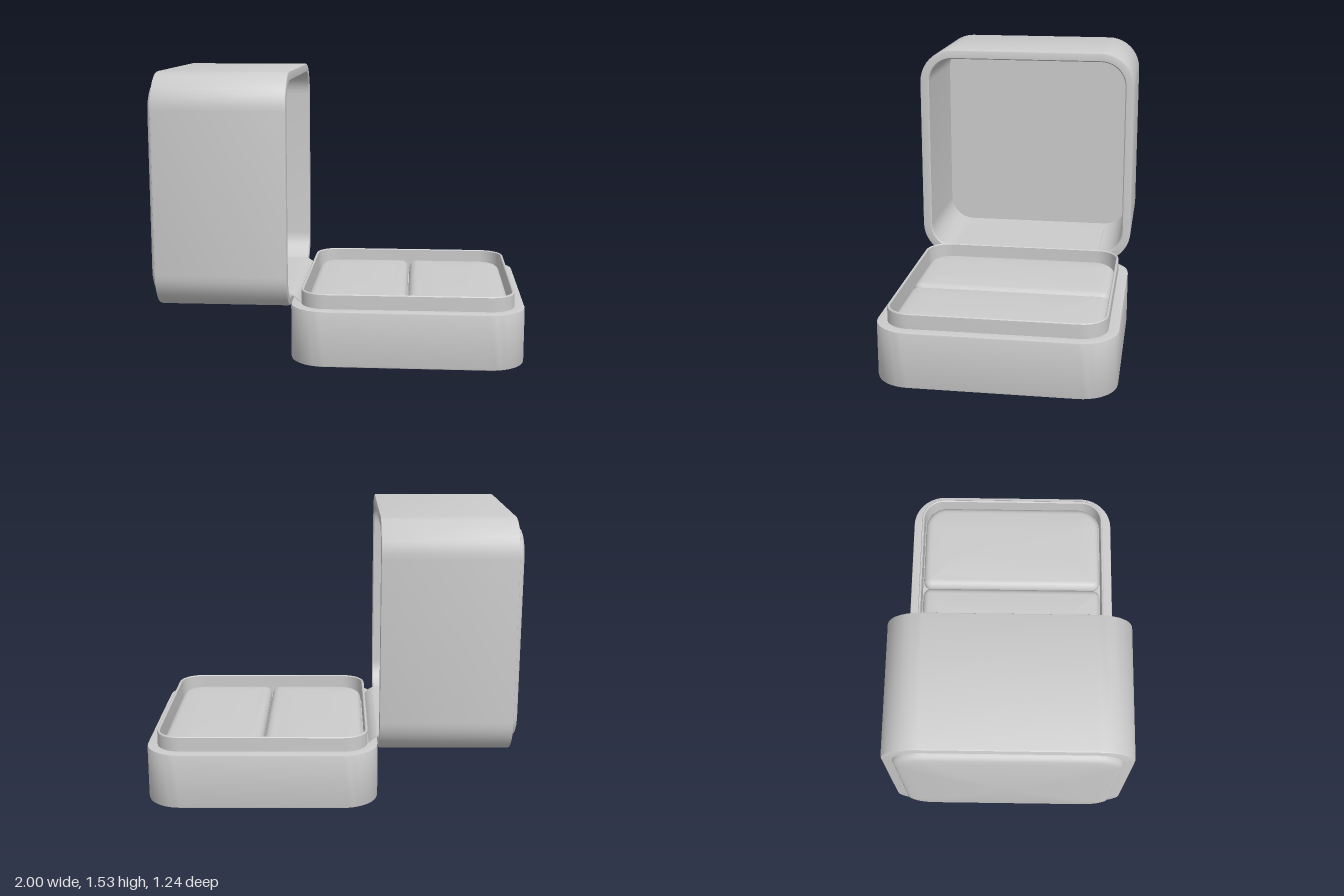
import * as THREE from 'three';
import { toCreasedNormals } from 'three/addons/utils/BufferGeometryUtils.js';

const CORNER_STEPS = 10;

// Points of a rounded rectangle in the xz plane; rp / rn are the corner radii on +x / -x
function ringPoints({ a, b, y, rp, rn = rp }) {
  const pts = [];
  [[1, 1], [-1, 1], [-1, -1], [1, -1]].forEach(([sx, sz], q) => {
    const r = sx > 0 ? rp : rn;
    for (let k = 0; k <= CORNER_STEPS; k++) {
      const t = (q + k / CORNER_STEPS) * Math.PI / 2;
      pts.push(new THREE.Vector3(sx * (a - r) + r * Math.cos(t), y, sz * (b - r) + r * Math.sin(t)));
    }
  });
  return pts;
}

// Skin a list of rounded-rectangle rings, optionally closing the ends with flat caps
function loft(name, rings, material, capStart = true, capEnd = true) {
  const loops = rings.map(ringPoints);
  const n = loops[0].length;
  const pos = [];
  const tri = (p, q, r) => {
    const area = q.clone().sub(p).cross(r.clone().sub(p)).length();
    if (area > 1e-10) [p, q, r].forEach(v => pos.push(v.x, v.y, v.z));
  };
  const last = loops.length - 1;
  const bottom = new THREE.Vector3(0, rings[0].y, 0);
  const top = new THREE.Vector3(0, rings[last].y, 0);
  for (let i = 0; i < n; i++) {
    const i2 = (i + 1) % n;
    for (let j = 0; j < last; j++) {
      tri(loops[j][i], loops[j + 1][i], loops[j + 1][i2]);
      tri(loops[j][i], loops[j + 1][i2], loops[j][i2]);
    }
    if (capStart) tri(bottom, loops[0][i], loops[0][i2]);
    if (capEnd) tri(top, loops[last][i2], loops[last][i]);
  }
  const geo = new THREE.BufferGeometry();
  geo.setAttribute('position', new THREE.Float32BufferAttribute(pos, 3));
  const mesh = new THREE.Mesh(toCreasedNormals(geo, 0.55), material);
  mesh.name = name;
  return mesh;
}

// Square ring of half size s at height y, keeping its corners concentric with the outer wall
const square = (s, y) => ({ a: s, b: s, y, rp: Math.max(s - 0.43, 0.01) });

export function createModel() {
  const material = new THREE.MeshStandardMaterial({ color: 0xcccccc });
  const model = new THREE.Group();
  model.name = 'openRingBox';

  // Base tray: outer wall, ledge, raised thin lip and inner floor
  const base = new THREE.Group();
  base.name = 'base';
  base.position.x = 0.38;
  model.add(base);
  base.add(loft('baseTray', [
    square(0.612, 0), square(0.618, 0.003), square(0.62, 0.01),
    square(0.62, 0.292), square(0.618, 0.298), square(0.612, 0.3),
    square(0.565, 0.3), square(0.565, 0.375), square(0.561, 0.38),
    square(0.555, 0.38), square(0.551, 0.376), square(0.551, 0.25),
  ], material));

  // Two mirrored cushions with rolled edges, meeting at the ring slot
  for (const side of [-1, 1]) {
    const A = 0.271, B = 0.545, R = 0.045;
    const ring = (inset, y) => {
      const outer = Math.max(0.13 - inset, 0.02), inner = Math.max(0.05 - inset, 0.005);
      return { a: A - inset, b: B - inset, y, rp: side > 0 ? outer : inner, rn: side > 0 ? inner : outer };
    };
    const rings = [ring(0, 0.25)];
    for (let k = 0; k <= 6; k++) {
      const t = k / 6 * Math.PI / 2;
      rings.push(ring(R * (1 - Math.cos(t)), 0.275 + R * Math.sin(t)));
    }
    rings.push(ring(0.09, 0.325), ring(0.15, 0.328));
    const cushion = loft(side < 0 ? 'rightCushion' : 'leftCushion', rings, material);
    cushion.position.x = side * (A + 0.003);
    base.add(cushion);
  }

  // Lid, modelled with its opening towards +y and then turned to open towards +x
  const lid = new THREE.Group();
  lid.name = 'lid';
  lid.position.y = 0.907;
  lid.rotation.z = -Math.PI / 2;
  model.add(lid);
  lid.add(loft('lidShell', [
    square(0.612, -0.935), square(0.618, -0.933), square(0.621, -0.926),
    square(0.621, -0.247), square(0.619, -0.242), square(0.614, -0.24),
    square(0.576, -0.24), square(0.57, -0.246), square(0.57, -0.845),
  ], material));

  // Padded panel on the lid: shallow dome with a rounded shoulder
  const domeRings = [];
  for (let k = 1; k <= 10; k++) {
    const f = k / 10;
    domeRings.push({ a: 0.535 * f, b: 0.535 * f, y: -1 + 0.034 * f * f, rp: 0.12 * f });
  }
  const shoulder = [[0.55, -0.961], [0.56, -0.952], [0.565, -0.943], [0.566, -0.93]]
    .map(([s, y]) => ({ a: s, b: s, y, rp: s - 0.415 }));
  lid.add(loft('lidPad', [...domeRings, ...shoulder], material, true, false));

  // Hinge strip: lies inside the lid and bends down on to the base ledge
  const curve = new THREE.CatmullRomCurve3([
    [-0.72, 0.343], [-0.4, 0.343], [-0.26, 0.343], [-0.235, 0.34], [-0.21, 0.325], [-0.19, 0.303],
  ].map(([x, y]) => new THREE.Vector3(x, y, 0)));
  const upper = curve.getPoints(40).map(p => new THREE.Vector2(p.x, p.y));
  const lower = upper.map(p => new THREE.Vector2(p.x - 0.003, p.y - 0.006)).reverse();
  const stripGeo = new THREE.ExtrudeGeometry(new THREE.Shape([...upper, ...lower]),
    { depth: 0.87, bevelEnabled: false, steps: 1 });
  stripGeo.translate(0, 0, -0.435);
  const strip = new THREE.Mesh(toCreasedNormals(stripGeo, 0.55), material);
  strip.name = 'hingeStrip';
  model.add(strip);

  return model;
}
